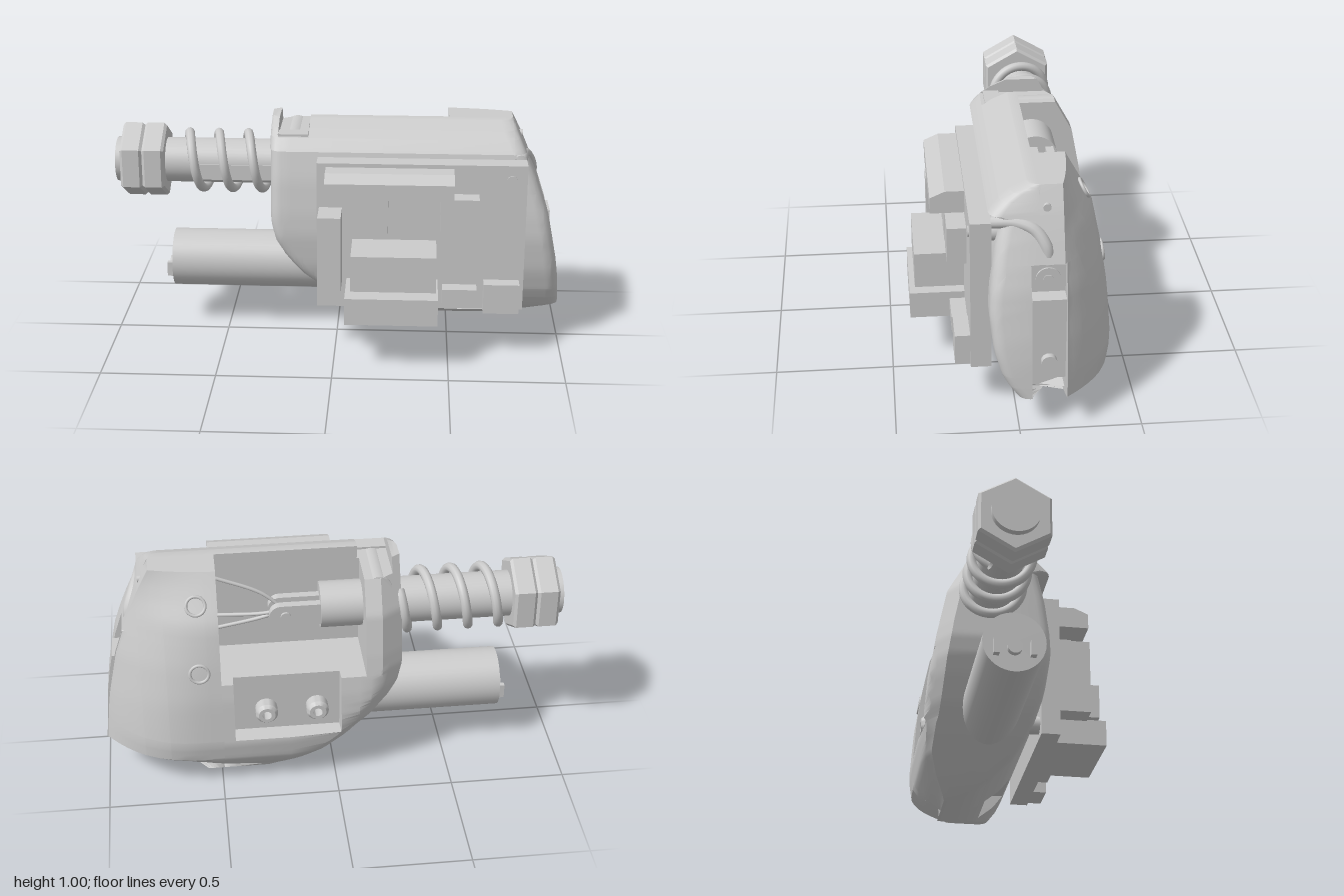
import * as THREE from 'three';
import { toCreasedNormals } from 'three/addons/utils/BufferGeometryUtils.js';

const smooth = new THREE.MeshStandardMaterial({ color: 0xcccccc, side: THREE.DoubleSide });
const flat = new THREE.MeshStandardMaterial({ color: 0xcccccc, flatShading: true });

// Piecewise-linear profile over height: pairs [y, value], y rising
const profile = (pts) => (y) => {
  if (y <= pts[0][0]) return pts[0][1];
  for (let i = 1; i < pts.length; i++) {
    const [a, va] = pts[i - 1], [b, vb] = pts[i];
    if (y <= b) return va + (vb - va) * (y - a) / (b - a);
  }
  return pts[pts.length - 1][1];
};
const left = profile([[0, .29], [.05, .19], [.1, .11], [.2, -.03], [.3, -.15], [.4, -.23], [.47, -.27], [.55, -.29]]);
const right = profile([[0, .56], [.05, .72], [.1, .86], [.15, 1], [.3, .987], [.4, .973], [.6, .933], [.7, .9], [.8, .862], [.9, .82], [1, .77]]);
const frontZ = profile([[0, -.28], [.02, -.19], [.06, -.1], [.14, 0], [.2, .045], [.25, .07], [.35, .1], [.5, .115], [.6, .11], [.75, .09], [.875, .06], [.89, .11], [.93, .08], [.97, .02], [1, -.05]]);
const backZ = profile([[0, -.28], [.07, -.35], [.14, -.4], [.23, -.415], [.45, -.4], [.62, -.375], [.8, -.34], [.9, -.285], [1, -.23]]);

// Housing skin: rounded front edges, a scoop below, long chamfer on the right rear
function front(x, y) {
  const r = .05, d = Math.min(x - left(y), right(y) - x, r), k = 1 - Math.max(d, 0) / r;
  let z = frontZ(y) - r * (1 - Math.sqrt(1 - k * k)) * (y > .1 ? 1 : y / .1);
  if (x > .49 && x < .72 && y > .085 && y < .2) z -= .07;
  return z;
}
function back(x, y) {
  const zb = backZ(y), edge = Math.min(-.185, frontZ(y) - .02);
  const k = Math.max(0, 1 - (right(y) - x) / .42), l = Math.max(0, 1 - (x - left(y)) / .09);
  let z = zb + Math.max(0, edge - zb) * k ** 2.6 + .06 * l * Math.min(1, y * 4);
  if (x > -.02 && x < .44 && y > .25) z = Math.max(z, -.335);
  return z;
}
// Slot down the right end that holds the latch bar
const inSlot = (x, y) => x > .83 && y < .71;

// Solid made of rings stacked in y between a front and a back height field
function block(y0, y1, x0, x1, zf, zb) {
  const fixed = [-.24, -.2, -.15, -.1, -.021, -.019, .2, .439, .441, .489, .491, .55, .6, .66, .719, .721, .77, .829, .831, .87, .91, .95];
  const near = [0, .004, .012, .025, .05, .06];
  const ys = [.084, .086, .15, .199, .201, .249, .251, .709, .711, .875, .89].filter((y) => y > y0 && y < y1);
  for (let i = 0; i <= 28; i++) ys.push(y0 + (y1 - y0) * i / 28);
  ys.sort((a, b) => a - b);
  const pos = [], idx = [];
  let n = 0;
  for (const y of ys) {
    const a = x0(y), b = x1(y);
    const xs = [...fixed, ...near.map((d) => a + d), ...near.map((d) => b - d)]
      .map((x) => Math.min(b, Math.max(a, x))).sort((p, q) => p - q);
    n = xs.length;
    for (const x of xs) pos.push(x, y, zf(x, y));
    for (const x of xs.reverse()) pos.push(x, y, Math.min(zb(x, y), zf(x, y) - .002));
  }
  const m = 2 * n, top = (ys.length - 1) * m;
  for (let k = 0; k < ys.length - 1; k++) for (let i = 0; i < m; i++) {
    const a = k * m + i, b = k * m + (i + 1) % m;
    idx.push(a, b, b + m, a, b + m, a + m);
  }
  for (let i = 0; i < n - 1; i++) {
    const j = m - 1 - i;
    idx.push(top + i, top + i + 1, top + j - 1, top + i, top + j - 1, top + j);
    idx.push(i, j - 1, i + 1, i, j, j - 1);
  }
  const g = new THREE.BufferGeometry();
  g.setAttribute('position', new THREE.Float32BufferAttribute(pos, 3));
  g.setIndex(idx);
  return toCreasedNormals(g, .5);
}

export function createModel() {
  const model = new THREE.Group();
  const add = (name, geo, mat = smooth) => {
    const m = new THREE.Mesh(geo, mat);
    m.name = name;
    model.add(m);
    return m;
  };
  const box = (name, x0, x1, y0, y1, z0, z1) =>
    add(name, new THREE.BoxGeometry(x1 - x0, y1 - y0, z1 - z0).translate((x0 + x1) / 2, (y0 + y1) / 2, (z0 + z1) / 2), flat);
  const rodX = (name, x0, x1, y, z, r, seg = 40, mat = smooth) =>
    add(name, new THREE.CylinderGeometry(r, r, x1 - x0, seg).rotateZ(Math.PI / 2).translate((x0 + x1) / 2, y, z), mat);
  const rodZ = (name, z0, z1, x, y, r, seg = 24) =>
    add(name, new THREE.CylinderGeometry(r, r, z1 - z0, seg).rotateX(Math.PI / 2).translate(x, y, (z0 + z1) / 2));
  const tube = (name, pts, r) =>
    add(name, new THREE.TubeGeometry(new THREE.CatmullRomCurve3(pts.map((p) => new THREE.Vector3(...p))), 40, r, 12));
  const lathe = (pts, seg) => new THREE.LatheGeometry(pts.map((p) => new THREE.Vector2(...p)), seg);
  const at = (v) => () => v;

  // Housing: front shell, rear column, lower rear and collar, leaving an open bay
  const mid = (x, y) => (inSlot(x, y) ? -.05 : -.09);
  const inner = (x, y) => Math.min(inSlot(x, y) ? -.19 : -.09, front(x, y));
  add('frontShell', block(0, .94, left, right, front, mid));
  add('frontShellTop', block(.94, 1, at(-.12), right, front, mid));
  add('rearColumn', block(0, 1, at(.49), right, inner, back));
  add('lowerRear', block(0, .53, left, at(.49), inner, back));
  add('collar', block(.53, .94, left, at(-.13), inner, back));
  add('collarEar', block(.94, 1, left, at(-.255), front, back));
  rodZ('collarClip', -.26, 0, -.19, .885, .06);
  box('clipFoot', -.26, -.125, .86, .95, -.02, .05);

  // Latch bar in the slot: recessed foot, raised bar, recessed screw block
  box('slotFoot', .75, .835, .1, .23, -.19, -.06);
  box('sideBar', .75, .948, .215, .58, -.188, -.052);
  box('screwBlock', .75, .88, .57, .712, -.19, -.05);
  rodX('sideScrew', .85, .887, .64, -.12, .05);
  rodX('sideScrewSocket', .85, .89, .64, -.12, .022, 6, flat);
  rodX('sidePin', .9, .975, .3, -.12, .032);
  rodX('upperPin', .75, .817, .92, -.12, .016);
  tube('cableDuct', [[.8, .86, .1], [.815, .86, 0], [.835, .835, -.07], [.86, .77, -.115], [.86, .7, -.125]], .026);

  // Sockets on the rear column
  for (const [y, z, tilt] of [[.88, -.297, .5], [.59, -.378, .15]]) {
    const s = add('columnSocket', new THREE.TorusGeometry(.04, .007, 10, 32));
    s.position.set(.58, y, z);
    s.rotation.x = tilt;
  }
  // Screw bosses in the rear pocket
  for (const x of [.08, .3]) {
    const b = add('screwBoss', toCreasedNormals(lathe([[.02, 0], [.02, .065], [.036, .065], [.048, .05], [.048, 0]], 32), .5));
    b.position.set(x, .36, -.33);
    b.rotation.x = -Math.PI / 2;
  }

  // Plunger with chamfered lock nuts and spring
  const py = .76, pz = -.155;
  rodX('plungerRod', -1, .05, py, pz, .1);
  const nutProfile = [[0, 0], [.16, 0], [.172, .012], [.172, .086], [.16, .098], [0, .098]];
  for (const x of [-.97, -.872]) {
    const nut = add('lockNut', lathe(nutProfile, 6).rotateZ(-Math.PI / 2).rotateX(Math.PI / 2), flat);
    nut.position.set(x, py, pz);
  }
  box('rodKey', -.62, -.28, py - .06, py + .01, pz, pz + .104);
  const coil = [];
  for (let i = 0; i <= 80; i++) {
    const x = -.725 + .44 * i / 80, a = (x + .67) / .133 * Math.PI * 2;
    coil.push(new THREE.Vector3(x, py + .125 * Math.cos(a), pz + .125 * Math.sin(a)));
  }
  add('spring', new THREE.TubeGeometry(new THREE.CatmullRomCurve3(coil), 200, .021, 10));

  // Clevis and pull wires inside the bay
  for (const z of [-.235, -.165]) {
    box('clevisArm', .04, .22, py - .05, py + .05, z, z + .035);
    rodZ('clevisEnd', z, z + .035, .22, py, .05);
  }
  rodZ('clevisPin', -.245, -.12, .2, py, .022);
  for (const [y, z] of [[.93, -.16], [.72, -.13], [.68, -.17]])
    tube('pullWire', [[.2, py, -.18], [.3, (py + y) / 2, -.17], [.5, y, z]], .008);

  // Motor
  rodX('motor', -.75, .3, .3, -.125, .13);
  rodX('motorShaftBoss', -.775, -.74, .27, -.125, .03);
  for (const z of [-.2, -.05]) box('motorTerminal', -.78, -.74, .235, .3, z - .012, z + .012);

  // Circuit board with posts and components: x0, x1, y0, y1, depth
  box('circuitBoard', -.08, .825, .2, .865, .1, .185);
  for (const [x, y] of [[.76, .8], [-.01, .265]]) {
    rodZ('boardPost', -.02, .1, x, y, .04);
    rodZ('boardScrew', .18, .19, x, y, .022);
  }
  const parts = [
    [-.07, .03, .32, .665, .325], [.06, .23, .57, .735, .265], [.26, .42, .57, .735, .265], [.455, .62, .57, .735, .265],
    [.075, .44, .36, .52, .395], [.05, .45, .215, .335, .418], [.47, .62, .245, .315, .25], [.65, .805, .205, .34, .248],
  ];
  for (const [x0, x1, y0, y1, z] of parts) box('boardComponent', x0, x1, y0, y1, .18, z);
  const bar = new THREE.Shape([[-.18, .75], [-.327, .75], [-.327, .82], [-.265, .848], [-.18, .848]].map((p) => new THREE.Vector2(...p)));
  add('boardConnector', new THREE.ExtrudeGeometry(bar, { depth: .55, bevelEnabled: false }).rotateY(Math.PI / 2).translate(-.04, 0, 0), flat);
  return model;
}
